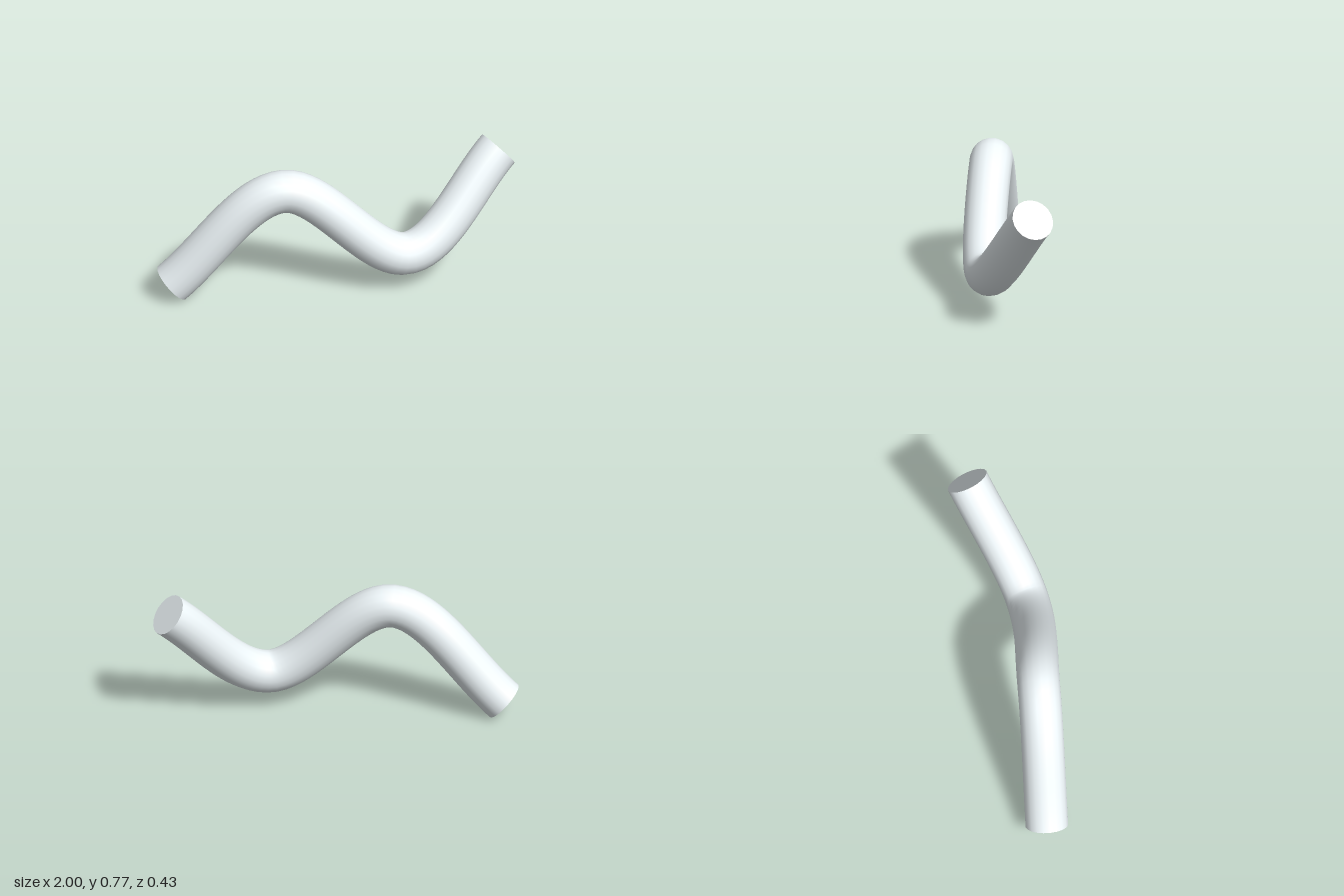
import * as THREE from 'three';

const RADIUS = 0.118;
const SIDES = 20;
const STEPS = 64;

export function createModel() {
  const group = new THREE.Group();
  group.name = 'bentRod';
  const material = new THREE.MeshStandardMaterial({ color: 0xeef6f9 });

  // Centre line of the rod: one crest, one dip
  const path = new THREE.CatmullRomCurve3([
    new THREE.Vector3(-0.921, 0.087, -0.098),
    new THREE.Vector3(-0.32, 0.641, 0.003),
    new THREE.Vector3(0.362, 0.205, 0.097),
    new THREE.Vector3(0.921, 0.677, -0.098),
  ]);

  // Round rod swept along the line
  const rod = new THREE.Mesh(new THREE.TubeGeometry(path, STEPS, RADIUS, SIDES, false), material);
  rod.name = 'rod';
  group.add(rod);

  // Flat discs closing both ends, aligned with the sides of the rod
  const frames = path.computeFrenetFrames(STEPS, false);
  const addCap = (name, index, dir) => {
    const cap = new THREE.Mesh(new THREE.CircleGeometry(RADIUS, SIDES), material);
    cap.name = name;
    const basis = new THREE.Matrix4().makeBasis(
      frames.normals[index],
      frames.binormals[index].clone().multiplyScalar(dir),
      frames.tangents[index].clone().multiplyScalar(dir),
    );
    cap.quaternion.setFromRotationMatrix(basis);
    cap.position.copy(path.getPointAt(index / STEPS));
    group.add(cap);
  };
  addCap('rightEndCap', 0, -1);
  addCap('leftEndCap', STEPS, 1);

  return group;
}
